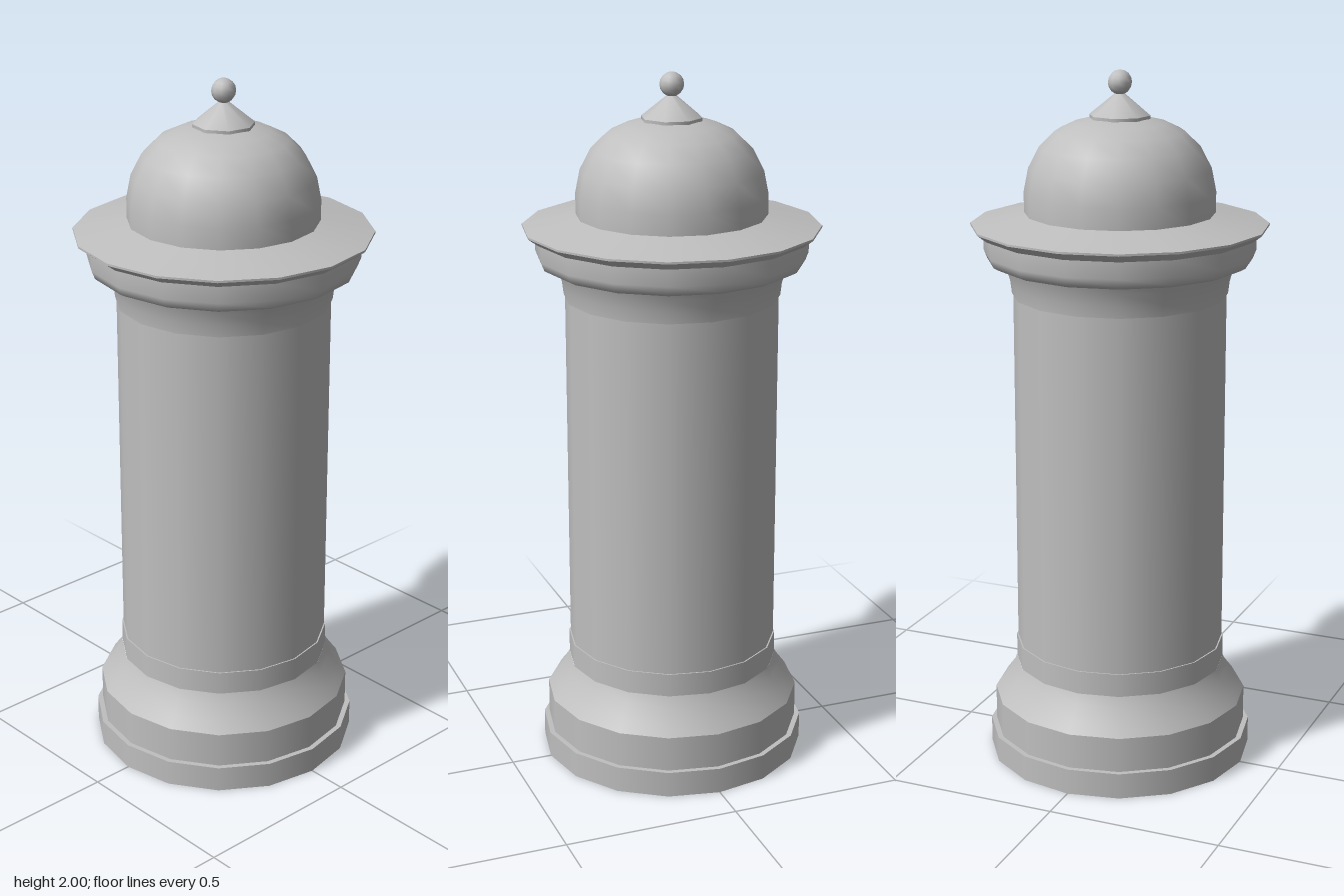
import * as THREE from 'three';

const stone = new THREE.MeshStandardMaterial({ color: 0xbfbfbf });
stone.name = 'grey stone';

// Each profile is turned separately, so edges between profiles stay sharp.
// Points run from the bottom up as [radius, height].
function turned(name, profiles, sides = 16, turn = 0) {
  const group = new THREE.Group();
  group.name = name;
  for (const profile of profiles) {
    const points = profile.map(([r, y]) => new THREE.Vector2(r, y));
    const mesh = new THREE.Mesh(new THREE.LatheGeometry(points, sides), stone);
    mesh.name = name + 'Surface';
    mesh.rotation.y = turn;
    group.add(mesh);
  }
  return group;
}

export function createModel() {
  const model = new THREE.Group();
  model.name = 'domedPillar';

  // Stepped base
  model.add(turned('plinth', [
    [[0, 0], [0.383, 0]],
    [[0.383, 0], [0.383, 0.075]],
    [[0.383, 0.075], [0.368, 0.075]],
  ]));
  model.add(turned('base', [
    [[0.368, 0.075], [0.368, 0.177]],
    [[0.368, 0.177], [0.345, 0.207], [0.318, 0.248], [0.305, 0.277]],
  ]));

  // Shaft with a slightly raised foot band
  model.add(turned('footBand', [
    [[0.304, 0.275], [0.304, 0.344]],
    [[0.304, 0.344], [0.3, 0.344]],
  ]));
  model.add(turned('shaft', [[[0.3, 0.344], [0.3, 1.376]]]));

  // Flared neck and rounded cornice
  model.add(turned('neck', [
    [[0.3, 1.376], [0.304, 1.376]],
    [[0.304, 1.376], [0.308, 1.41], [0.318, 1.445], [0.327, 1.467]],
  ]));
  model.add(turned('cornice', [
    [[0.327, 1.467], [0.355, 1.468], [0.372, 1.477], [0.381, 1.5], [0.381, 1.547]],
  ]));

  // Wide thin brim
  model.add(turned('brim', [
    [[0.381, 1.547], [0.39, 1.55], [0.417, 1.57]],
    [[0.417, 1.57], [0.417, 1.576]],
    [[0.417, 1.576], [0.265, 1.607]],
  ]));

  // Dome
  model.add(turned('dome', [[
    [0.267, 1.605], [0.267, 1.665], [0.254, 1.73], [0.223, 1.79],
    [0.18, 1.832], [0.13, 1.856], [0.075, 1.87], [0, 1.878],
  ]]));

  // Eight-sided finial cap and ball
  model.add(turned('finialCap', [
    [[0, 1.868], [0.086, 1.868]],
    [[0.086, 1.868], [0.086, 1.877]],
    [[0.086, 1.877], [0.012, 1.937], [0, 1.94]],
  ], 8, Math.PI / 16));
  const ball = new THREE.Mesh(new THREE.SphereGeometry(0.034, 10, 8), stone);
  ball.name = 'finialBall';
  ball.position.y = 1.966;
  model.add(ball);

  return model;
}
